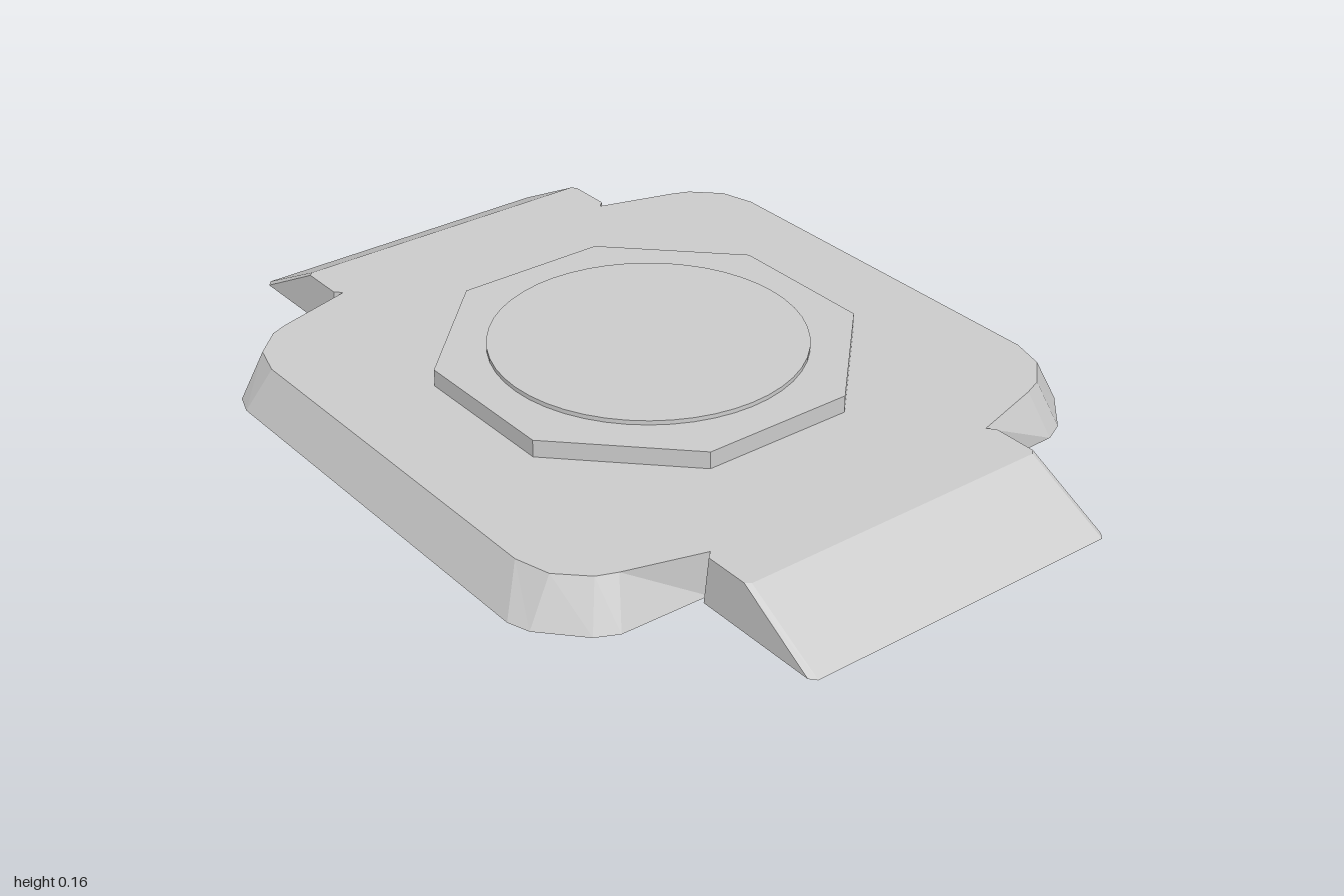
import * as THREE from 'three';

const HEIGHT = 0.105;

// Mirrors one quarter outline (+x,+z, running from side to front) into a closed loop.
function mirrorOutline(quarter) {
  const back = [...quarter].reverse();
  return [
    ...quarter,
    ...back.map(([x, z]) => [-x, z]),
    ...quarter.map(([x, z]) => [-x, -z]),
    ...back.map(([x, z]) => [x, -z]),
  ].map(([x, z]) => new THREE.Vector2(x, z));
}

// Solid between two matching outlines at y = 0 and y = height.
function loft(bottom, top, height) {
  const n = bottom.length;
  const positions = [];
  for (const p of bottom) positions.push(p.x, 0, p.y);
  for (const p of top) positions.push(p.x, height, p.y);
  const index = [];
  for (let i = 0; i < n; i++) {
    const j = (i + 1) % n;
    index.push(i, n + i, n + j, i, n + j, j);
  }
  for (const [a, b, c] of THREE.ShapeUtils.triangulateShape(bottom, [])) index.push(a, b, c);
  for (const [a, b, c] of THREE.ShapeUtils.triangulateShape(top, [])) index.push(n + a, n + c, n + b);
  const geometry = new THREE.BufferGeometry();
  geometry.setAttribute('position', new THREE.Float32BufferAttribute(positions, 3));
  geometry.setIndex(index);
  const flat = geometry.toNonIndexed();
  flat.computeVertexNormals();
  return flat;
}

export function createModel() {
  const group = new THREE.Group();
  group.name = 'landingPad';
  const flat = new THREE.MeshStandardMaterial({ color: 0xcccccc, flatShading: true });
  const smooth = new THREE.MeshStandardMaterial({ color: 0xcccccc });

  const add = (name, geometry, material, y = 0) => {
    const mesh = new THREE.Mesh(geometry, material);
    mesh.name = name;
    mesh.position.y = y;
    group.add(mesh);
  };

  // Sloped platform with a ramp on each side: ramp end, notch, then rounded corner
  const foot = mirrorOutline([
    [1, 0.38], [0.985, 0.393], [0.68, 0.393], [0.668, 0.37],
    [0.664, 0.58], [0.64, 0.63], [0.55, 0.713], [0.5, 0.73],
  ]);
  const deck = mirrorOutline([
    [0.8, 0.375], [0.79, 0.386], [0.685, 0.386], [0.67, 0.37],
    [0.618, 0.55], [0.6, 0.595], [0.54, 0.657], [0.46, 0.68],
  ]);
  add('platform', loft(foot, deck, HEIGHT), flat);

  // Raised octagon, flats facing the axes
  const octagon = new THREE.CylinderGeometry(0.476, 0.476, 0.04, 8);
  octagon.rotateY(Math.PI / 8);
  add('octagonPlate', octagon, flat, HEIGHT + 0.02);

  // Thin round disc on top
  add('centreDisc', new THREE.CylinderGeometry(0.354, 0.354, 0.01, 48), smooth, HEIGHT + 0.045);

  return group;
}
